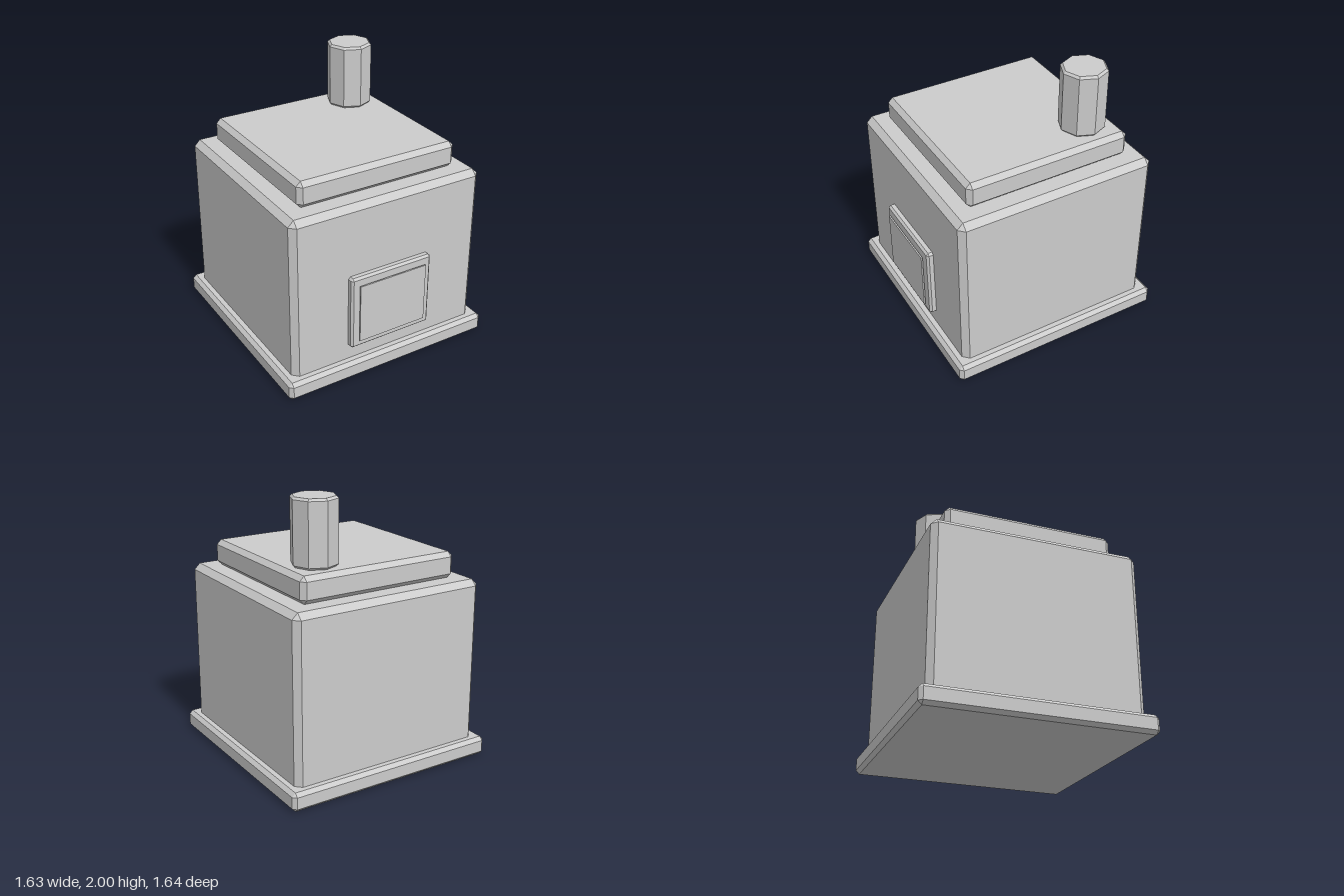
import * as THREE from 'three';
import { ConvexGeometry } from 'three/addons/geometries/ConvexGeometry.js';

const material = new THREE.MeshStandardMaterial({ color: 0xcccccc, flatShading: true });

function addPart(group, name, geometry, x, y, z) {
  const mesh = new THREE.Mesh(geometry, material);
  mesh.name = name;
  mesh.position.set(x, y, z);
  group.add(mesh);
}

// Box with every edge chamfered: the hull of three points per corner
function chamferBox(width, height, depth, bevel) {
  const points = [];
  const w = width / 2, h = height / 2, d = depth / 2;
  for (const sx of [-1, 1]) for (const sy of [-1, 1]) for (const sz of [-1, 1]) {
    points.push(
      new THREE.Vector3(sx * w, sy * (h - bevel), sz * (d - bevel)),
      new THREE.Vector3(sx * (w - bevel), sy * h, sz * (d - bevel)),
      new THREE.Vector3(sx * (w - bevel), sy * (h - bevel), sz * d)
    );
  }
  return new ConvexGeometry(points);
}

// Eight-sided pipe with chamfered rims
function chamferPipe(radius, height, bevel) {
  const h = height / 2;
  const profile = [
    [0, -h], [radius - bevel, -h], [radius, -h + bevel],
    [radius, h - bevel], [radius - bevel, h], [0, h]
  ].map(([r, y]) => new THREE.Vector2(r, y));
  return new THREE.LatheGeometry(profile, 8);
}

export function createModel() {
  const model = new THREE.Group();
  model.name = 'stove';

  // Stacked housing
  addPart(model, 'base', chamferBox(1.635, 0.138, 1.635, 0.026), 0, 0.069, 0);
  addPart(model, 'body', chamferBox(1.508, 1.26, 1.508, 0.043), 0, 0.71, 0);
  addPart(model, 'topPlate', chamferBox(1.245, 0.19, 1.245, 0.034), 0, 1.435, 0);

  // Firebox door with a thin pane just in front of it
  addPart(model, 'door', chamferBox(0.65, 0.565, 0.1, 0.016), 0, 0.528, 0.751);
  addPart(model, 'doorPane', new THREE.BoxGeometry(0.536, 0.445, 0.011), 0, 0.528, 0.816);

  // Flue pipe at the back left
  addPart(model, 'chimney', chamferPipe(0.165, 0.47, 0.016), 0.387, 1.765, -0.39);

  return model;
}
